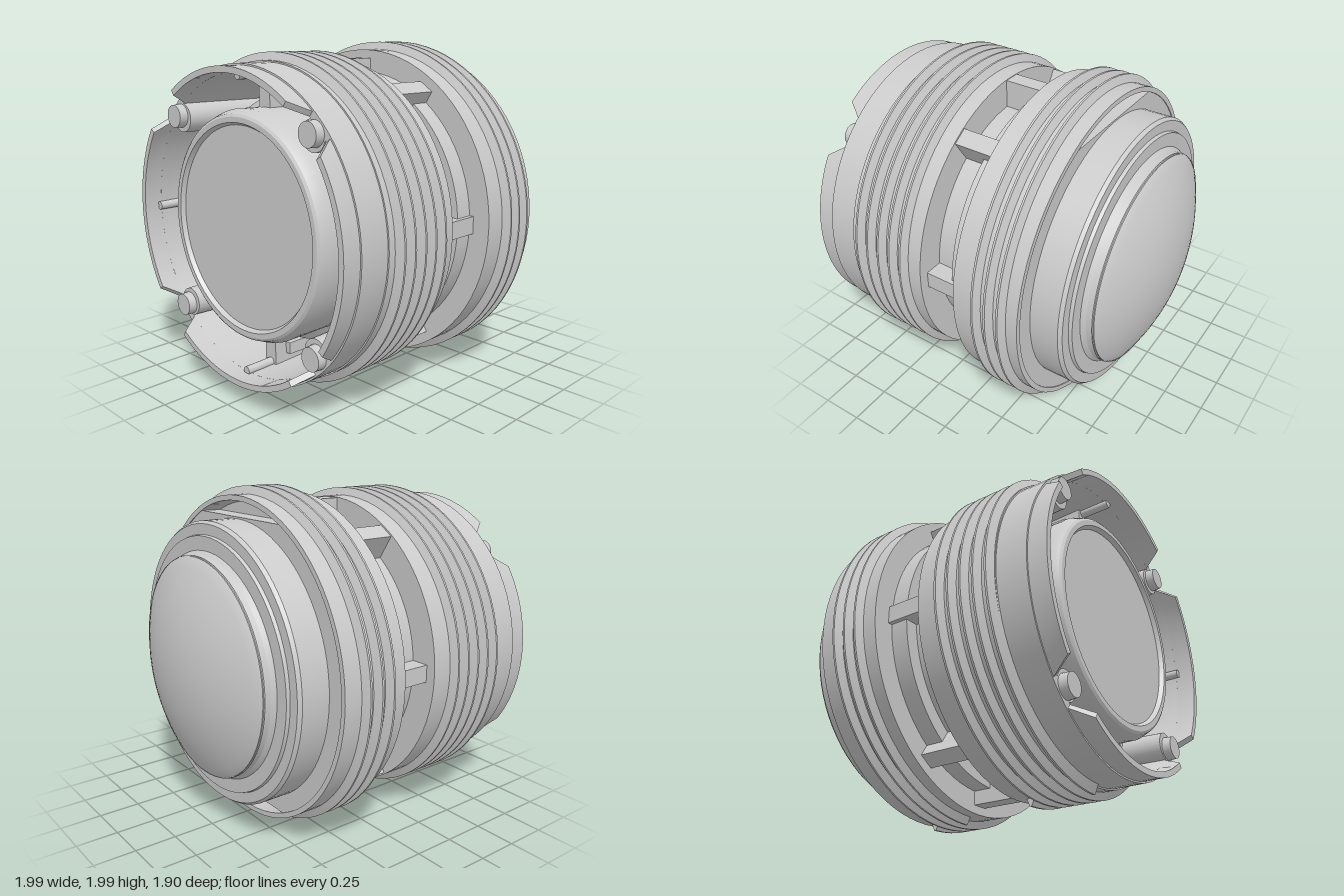
import * as THREE from 'three';
import { toCreasedNormals } from 'three/addons/utils/BufferGeometryUtils.js';

const SEG = 80;
const material = new THREE.MeshStandardMaterial({ color: 0xcccccc, side: THREE.DoubleSide });

function part(name, geometry, parent) {
  const mesh = new THREE.Mesh(geometry, material);
  mesh.name = name;
  parent.add(mesh);
  return mesh;
}

// Turned part about the z axis; points are [radius, z], rising in z on the outside
function turned(points) {
  const g = new THREE.LatheGeometry(points.map(([r, z]) => new THREE.Vector2(r, z)), SEG);
  g.rotateX(Math.PI / 2);
  return toCreasedNormals(g, 0.45);
}

// Helical screw thread with a trapezoid tooth, starting and ending at the bottom
function thread(r, height, zStart, pitch, turns) {
  const tooth = [[-0.034, -0.012], [-0.006, height], [0.006, height], [0.034, -0.012]];
  const n = SEG * turns, pos = [], idx = [];
  for (let i = 0; i <= n; i++) {
    const a = -Math.PI / 2 + (i / SEG) * 2 * Math.PI;
    for (const [dz, dr] of tooth) {
      pos.push((r + dr) * Math.cos(a), (r + dr) * Math.sin(a), zStart + pitch * i / SEG + dz);
    }
  }
  for (let i = 0; i < n; i++) {
    for (let j = 0; j < 3; j++) {
      const a = i * 4 + j, b = a + 4;
      idx.push(a, b, b + 1, a, b + 1, a + 1);
    }
  }
  const e = n * 4;
  idx.push(0, 1, 2, 0, 2, 3, e, e + 2, e + 1, e, e + 3, e + 2);
  const g = new THREE.BufferGeometry();
  g.setAttribute('position', new THREE.Float32BufferAttribute(pos, 3));
  g.setIndex(idx);
  return toCreasedNormals(g, 0.45);
}

// Raised rim quadrant whose ends flare towards the front
function rimSegment() {
  const half = THREE.MathUtils.degToRad(40), tip = 34 / 40;
  const s = new THREE.Shape();
  s.absarc(0, 0, 0.885, -half, half, false);
  s.absarc(0, 0, 0.85, half, -half, true);
  const g = new THREE.ExtrudeGeometry(s, { depth: 0.12, bevelEnabled: false, curveSegments: 20 });
  const p = g.attributes.position;
  for (let i = 0; i < p.count; i++) {
    const r = Math.hypot(p.getX(i), p.getY(i)), front = p.getZ(i) > 0.06;
    // the front edge sweeps past the base edge to leave a V-sided notch
    const a = Math.atan2(p.getY(i), p.getX(i)) * (front ? tip : 1);
    p.setXY(i, r * Math.cos(a), r * Math.sin(a));
  }
  return toCreasedNormals(g.translate(0, 0, 0.83), 0.45);
}

// Box running radially from r0 to r1 and along z from z0 to z1
function radialBox(r0, r1, width, z0, z1) {
  return new THREE.BoxGeometry(r1 - r0, width, z1 - z0)
    .translate((r0 + r1) / 2, 0, (z0 + z1) / 2);
}

// Round post along z at radius r
function post(r, radiusFront, radiusBack, z0, z1) {
  return new THREE.CylinderGeometry(radiusFront, radiusBack, z1 - z0, 24)
    .rotateX(Math.PI / 2).translate(r, 0, (z0 + z1) / 2);
}

export function createModel() {
  const model = new THREE.Group();
  const body = new THREE.Group();
  body.name = 'body';
  body.position.y = 1;
  model.add(body);

  // Front sleeve: thin wall with a deep annular well
  part('frontSleeve', turned([
    [0.6, 0.16], [0.905, 0.16], [0.905, 0.66], [0.897, 0.66], [0.895, 0.84],
    [0.85, 0.84], [0.83, 0.3], [0.6, 0.3],
  ]), body);
  part('frontThread', thread(0.9, 0.05, 0.25, 0.08, 5), body);

  // Inner barrel with its recessed front disc
  part('frontBarrel', turned([
    [0.72, 0.28], [0.72, 0.5], [0.655, 0.54], [0.655, 0.8], [0.63, 0.86],
    [0.615, 0.87], [0.585, 0.87], [0.57, 0.845], [0, 0.845],
  ]), body);

  // Rear core with stepped cap and shallow dome
  const R = 1.32, dome = [];
  for (let i = 0; i <= 12; i++) {
    const a = (i / 12) * Math.asin(0.63 / R);
    dome.push([R * Math.sin(a), -0.95 + R * (1 - Math.cos(a))]);
  }
  part('rearDome', turned([...dome, [0.64, -0.78]]), body);
  part('rearCore', turned([
    [0.635, -0.79], [0.64, -0.745], [0.66, -0.72], [0.74, -0.72], [0.745, -0.7],
    [0.805, -0.7], [0.82, -0.68], [0.82, 0.005], [0.74, 0.005], [0.74, 0.17],
  ]), body);

  // Rear threaded collar
  part('rearCollar', turned([
    [0.8, -0.4], [0.91, -0.4], [0.92, -0.515], [0.95, -0.515], [0.95, -0.105], [0.8, -0.105],
  ]), body);
  part('rearThread', thread(0.945, 0.05, -0.44, 0.08, 3), body);

  // Collar fill, cut flat above and below to leave two crescent recesses
  const cut = Math.asin(0.83 / 0.925);
  const fill = new THREE.Shape();
  fill.absarc(0, 0, 0.925, -cut, cut, false);
  fill.absarc(0, 0, 0.925, Math.PI - cut, Math.PI + cut, false);
  part('collarFill', toCreasedNormals(new THREE.ExtrudeGeometry(fill, {
    depth: 0.12, bevelEnabled: false, curveSegments: 30,
  }), 0.45).translate(0, 0, -0.51), body);

  // Struts bridging the waist between the collar and the sleeve
  for (const [degrees, reach] of [[0, 0.845], [57, 0.895], [90, 0.9], [123, 0.895],
    [180, 0.845], [237, 0.895], [270, 0.9], [303, 0.895]]) {
    part('waistStrut', radialBox(0.65, reach, 0.1, -0.12, 0.18), body)
      .rotation.z = THREE.MathUtils.degToRad(degrees);
  }

  for (let i = 0; i < 4; i++) {
    // Rim quadrant with a rib inside the well
    const quarter = new THREE.Group();
    quarter.name = 'rimQuarter';
    quarter.rotation.z = i * Math.PI / 2;
    body.add(quarter);
    part('rimSegment', rimSegment(), quarter);
    part('wellRib', radialBox(0.65, 0.85, 0.09, 0.28, 0.68), quarter);
    part('ribFoot', radialBox(0.72, 0.79, 0.16, 0.28, 0.6), quarter);
    part('ribBead', post(0.835, 0.025, 0.03, 0.28, 0.86), quarter);

    // Post with a raised pin in each notch
    const corner = new THREE.Group();
    corner.name = 'notchPost';
    corner.rotation.z = (i + 0.5) * Math.PI / 2;
    body.add(corner);
    part('postBase', post(0.8, 0.085, 0.1, 0.28, 0.84), corner);
    part('postPin', post(0.815, 0.066, 0.07, 0.82, 0.89), corner);
    part('postWeb', radialBox(0.65, 0.8, 0.12, 0.28, 0.6), corner);
  }
  return model;
}
